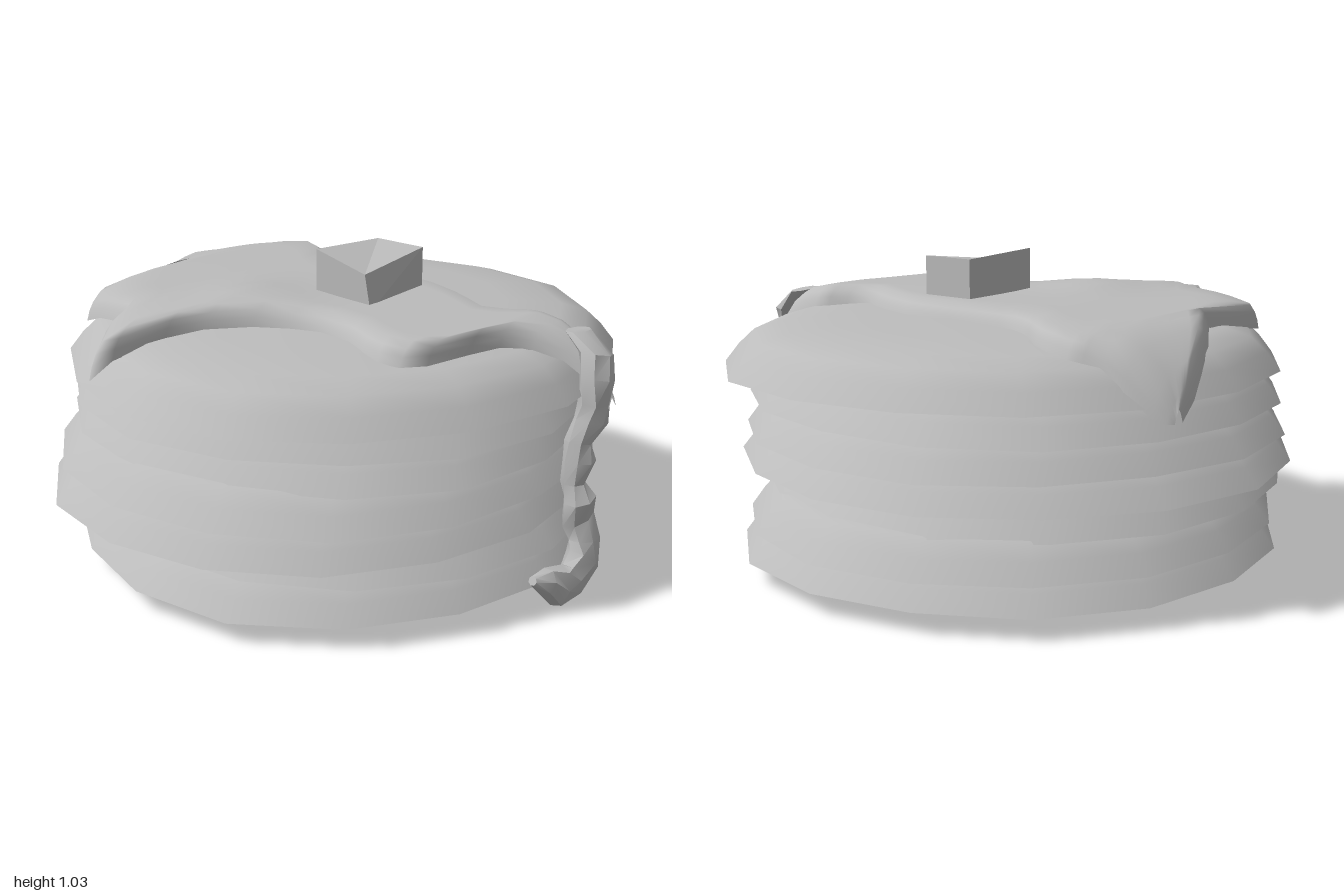
import * as THREE from 'three';
import { toCreasedNormals } from 'three/addons/utils/BufferGeometryUtils.js';

const grey = new THREE.MeshStandardMaterial({ color: 0xbcbcbc, side: THREE.DoubleSide });
grey.name = 'grey';

function addMesh(parent, name, geometry) {
  const mesh = new THREE.Mesh(geometry, grey);
  mesh.name = name;
  parent.add(mesh);
}

// Piecewise linear lookup in a list of [input, output] pairs
function lookup(table, t) {
  for (let i = 1; i < table.length; i++) {
    const [a, ya] = table[i - 1], [b, yb] = table[i];
    if (t <= b) return ya + (yb - ya) * (t - a) / (b - a);
  }
  return table[table.length - 1][1];
}

// Skin a grid of points: rows of equal length, joined in order
function skin(rows, closed = false) {
  const n = rows[0].length, index = [];
  for (let i = 0; i < rows.length - 1; i++) {
    for (let j = 0; j < (closed ? n : n - 1); j++) {
      const a = i * n + j, c = i * n + (j + 1) % n;
      index.push(a, a + n, c, c, a + n, c + n);
    }
  }
  const g = new THREE.BufferGeometry();
  g.setAttribute('position', new THREE.Float32BufferAttribute(rows.flat(2), 3));
  g.setIndex(index);
  g.computeVertexNormals();
  return g;
}

// Domed disc with a sharp lower rim and a slightly uneven outline
function pancake(xMin, xMax, zMin, zMax, y, seed) {
  const profile = [[0, 0], [1, 0], [0.95, 0.06], [0.895, 0.108], [0.8, 0.135], [0.6, 0.153], [0, 0.165]]
    .map(([r, h]) => new THREE.Vector2(r, h));
  const g = new THREE.LatheGeometry(profile, 16);
  const p = g.attributes.position;
  for (let i = 0; i < p.count; i++) {
    const x = p.getX(i), z = p.getZ(i), a = Math.atan2(z, x);
    const k = 1 + 0.012 * Math.sin(3 * a + seed * 2) + 0.01 * Math.sin(5 * a + seed);
    p.setXYZ(i,
      (xMin + xMax) / 2 + x * k * (xMax - xMin) / 2,
      y + p.getY(i),
      (zMin + zMax) / 2 + z * k * (zMax - zMin) / 2);
  }
  return toCreasedNormals(g, 1);
}

// Syrup pool: rows across x, each [z, left edge, right edge]
function syrupPool() {
  const outline = [
    [-0.93, 0.33, 0.37], [-0.915, 0.25, 0.39], [-0.88, 0.16, 0.41], [-0.8, 0, 0.44], [-0.73, -0.11, 0.45],
    [-0.675, -0.2, 0.47], [-0.66, -0.54, 0.475], [-0.63, -0.585, 0.485], [-0.55, -0.59, 0.48],
    [-0.48, -0.6, 0.45], [-0.4, -0.61, 0.39], [-0.35, -0.67, 0.355], [-0.29, -0.79, 0.33],
    [-0.22, -0.89, 0.325], [-0.19, -0.82, 0.325], [-0.15, -0.64, 0.325], [-0.1, -0.52, 0.325],
    [0, -0.4, 0.33], [0.1, -0.34, 0.33], [0.2, -0.3, 0.32], [0.33, -0.31, 0.28], [0.42, -0.35, 0.24],
    [0.5, -0.37, 0.2], [0.58, -0.36, 0.23], [0.63, -0.29, 0.27], [0.655, -0.12, 0.28], [0.68, 0, 0.29],
    [0.75, 0.08, 0.295], [0.83, 0.13, 0.285], [0.9, 0.16, 0.27], [0.94, 0.17, 0.25], [0.965, 0.19, 0.23],
  ];
  const height = [[0, 0.905], [0.7, 0.9], [0.8, 0.88], [0.88, 0.84], [0.94, 0.78], [0.98, 0.72]];
  const rim = [[0, 0.07], [0.012, 0.04], [0.03, 0.018], [0.06, 0]];
  const rows = outline.map(([z, l, r]) => {
    const half = (r - l) / 2;
    const inset = [0, 0.012, 0.03, 0.06].map((d, i) => Math.min(d, half * i * 0.2));
    const xs = inset.map(d => l + d);
    for (let i = 1; i < 8; i++) xs.push(l + inset[3] + (2 * half - 2 * inset[3]) * i / 8);
    xs.push(...inset.map(d => r - d).reverse());
    return xs.map(x => {
      const swell = 0.03 * Math.exp(-((x + 0.3) ** 2 + (z + 0.13) ** 2) / 0.035);
      const drop = lookup(rim, Math.min(x - l, r - x));
      return [x, lookup(height, Math.hypot(x, z)) + swell - drop, z];
    });
  });
  return skin(rows);
}

// Syrup drip: rings [x, y, z, half width, half depth] along a path that curls at the foot
function syrupDrip() {
  const path = [
    [0.22, 0.87, 0.82, 0.06, 0.03], [0.215, 0.81, 0.89, 0.075, 0.05], [0.19, 0.74, 0.915, 0.06, 0.055],
    [0.185, 0.66, 0.915, 0.055, 0.05], [0.18, 0.6, 0.91, 0.055, 0.055], [0.155, 0.53, 0.885, 0.04, 0.045],
    [0.16, 0.47, 0.89, 0.05, 0.055], [0.155, 0.39, 0.875, 0.04, 0.04], [0.16, 0.34, 0.9, 0.06, 0.05],
    [0.18, 0.26, 0.885, 0.075, 0.04], [0.18, 0.2, 0.915, 0.065, 0.045], [0.17, 0.13, 0.92, 0.08, 0.05],
    [0.09, 0.085, 0.93, 0.065, 0.045], [0.03, 0.085, 0.925, 0.07, 0.045], [-0.04, 0.125, 0.92, 0.045, 0.04],
    [-0.095, 0.145, 0.91, 0.015, 0.015],
  ];
  const sides = 7;
  const rows = path.map(([x, y, z, w, d], i) => {
    const a = path[Math.max(i - 1, 0)], b = path[Math.min(i + 1, path.length - 1)];
    const len = Math.hypot(b[0] - a[0], b[1] - a[1]);
    const nx = -(b[1] - a[1]) / len, ny = (b[0] - a[0]) / len;
    return Array.from({ length: sides }, (_, j) => {
      const t = -(j + (i % 2) * 0.3) / sides * Math.PI * 2;
      return [x + nx * w * Math.cos(t), y + ny * w * Math.cos(t), z + d * Math.sin(t)];
    });
  });
  // Close both ends
  const cap = ([x, y, z]) => Array.from({ length: sides }, () => [x, y, z]);
  rows.unshift(cap(path[0]));
  rows.push(cap(path[path.length - 1]));
  return toCreasedNormals(skin(rows, true), 0.6);
}

// Butter pat: a box with its front left edge pulled out and down
function butterPat() {
  const g = new THREE.BoxGeometry(0.31, 0.16, 0.2).translate(0.05, 0.96, 0.1);
  const p = g.attributes.position;
  for (let i = 0; i < p.count; i++) {
    const left = p.getX(i) < 0.05, top = p.getY(i) > 0.96, front = p.getZ(i) > 0.1;
    if (left && front) p.setZ(i, top ? 0.215 : 0.24);
    if (top) p.setY(i, left ? (front ? 1.0 : 1.05) : 1.035);
  }
  return toCreasedNormals(g, 0.1);
}

export function createModel() {
  const model = new THREE.Group();
  model.name = 'pancakeStack';

  // Stack from the bottom up: [xMin, xMax, zMin, zMax]
  const stack = [
    [-0.91, 0.95, -0.93, 0.89],
    [-0.84, 0.95, -0.94, 0.87],
    [-1.0, 0.86, -0.91, 0.87],
    [-0.96, 0.95, -0.97, 0.88],
    [-0.87, 0.95, -0.96, 0.85],
    [-0.87, 0.92, -0.95, 0.86],
    [-0.93, 0.99, -0.93, 0.92],
  ];
  stack.forEach((s, i) => addMesh(model, 'pancake' + (i + 1), pancake(...s, 0.09 + i * 0.1, i)));

  const syrup = new THREE.Group();
  syrup.name = 'syrup';
  addMesh(syrup, 'syrupPool', syrupPool());
  addMesh(syrup, 'syrupDrip', syrupDrip());
  model.add(syrup);

  addMesh(model, 'butterPat', butterPat());
  return model;
}
